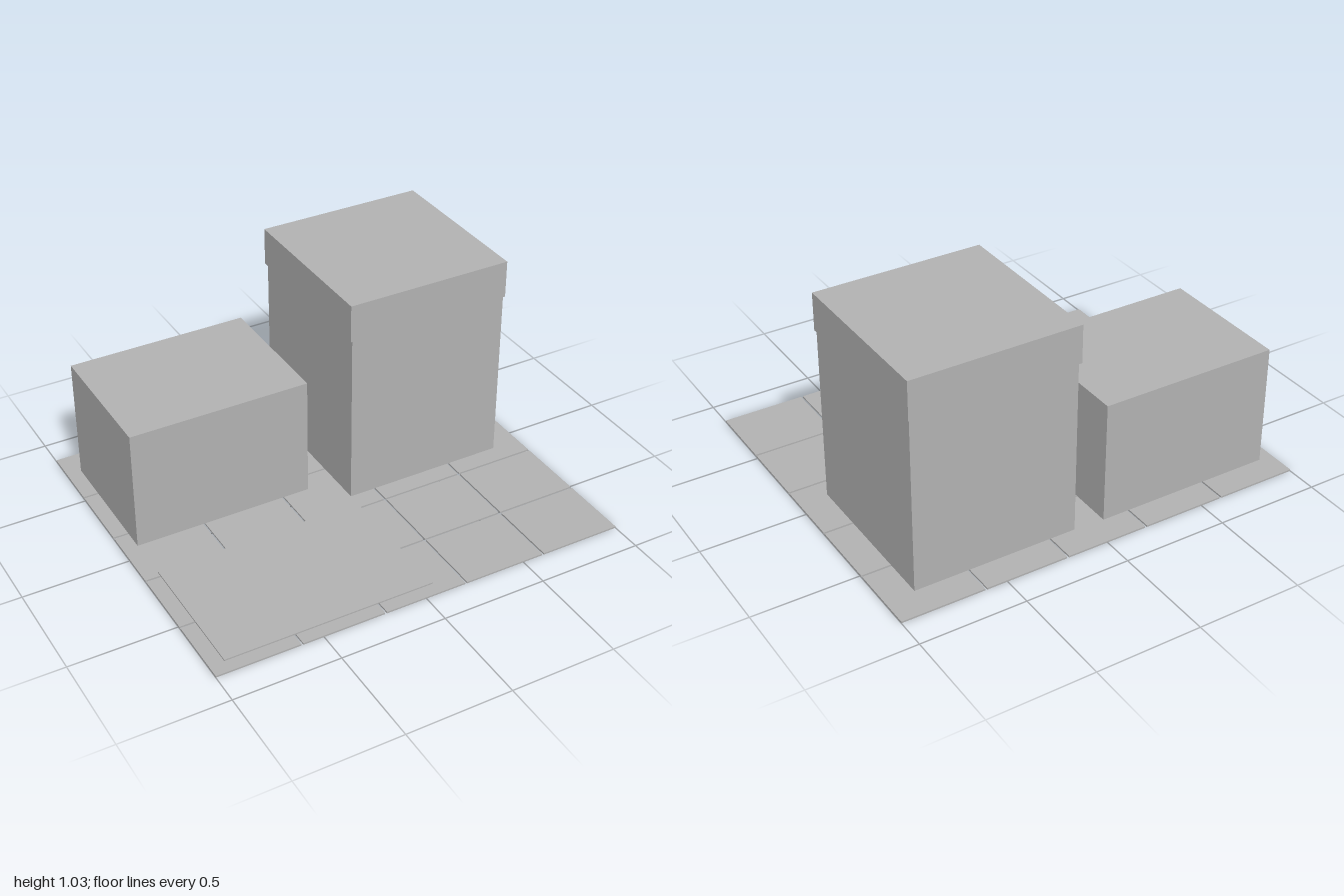
import * as THREE from 'three';

export function createModel() {
  const model = new THREE.Group();
  const grey = new THREE.MeshStandardMaterial({ color: 0xb2b2b2 });
  grey.name = 'grey';

  // Box given by its limits on each axis
  function block(name, [x0, x1], [y0, y1], [z0, z1], parent = model) {
    const mesh = new THREE.Mesh(new THREE.BoxGeometry(x1 - x0, y1 - y0, z1 - z0), grey);
    mesh.position.set((x0 + x1) / 2, (y0 + y1) / 2, (z0 + z1) / 2);
    mesh.name = name;
    parent.add(mesh);
  }

  // Paved base: five by five thin slabs with open joints
  const paving = new THREE.Group();
  paving.name = 'paving';
  model.add(paving);
  const count = 5, gap = 0.01, width = 2, depth = 1.706, ground = 0.008;
  const slabW = (width - gap * (count - 1)) / count;
  const slabD = (depth - gap * (count - 1)) / count;
  for (let i = 0; i < count; i++) {
    for (let j = 0; j < count; j++) {
      const x = -width / 2 + i * (slabW + gap);
      const z = -depth / 2 + j * (slabD + gap);
      block('pavingSlab', [x, x + slabW], [0, ground], [z, z + slabD], paving);
    }
  }

  // Thin raised pad at the front
  block('frontPad', [-0.93, 0.07], [ground, 0.015], [0.145, 0.79]);

  // Low building
  block('lowBlock', [-0.93, -0.07], [ground, 0.592], [-0.72, -0.07]);

  // Tall building with a slightly overhanging cap
  block('tallBlock', [0.075, 0.861], [ground, 0.847], [-0.712, 0.076]);
  block('tallBlockCap', [0.065, 0.868], [0.847, 1.027], [-0.721, 0.082]);

  return model;
}
